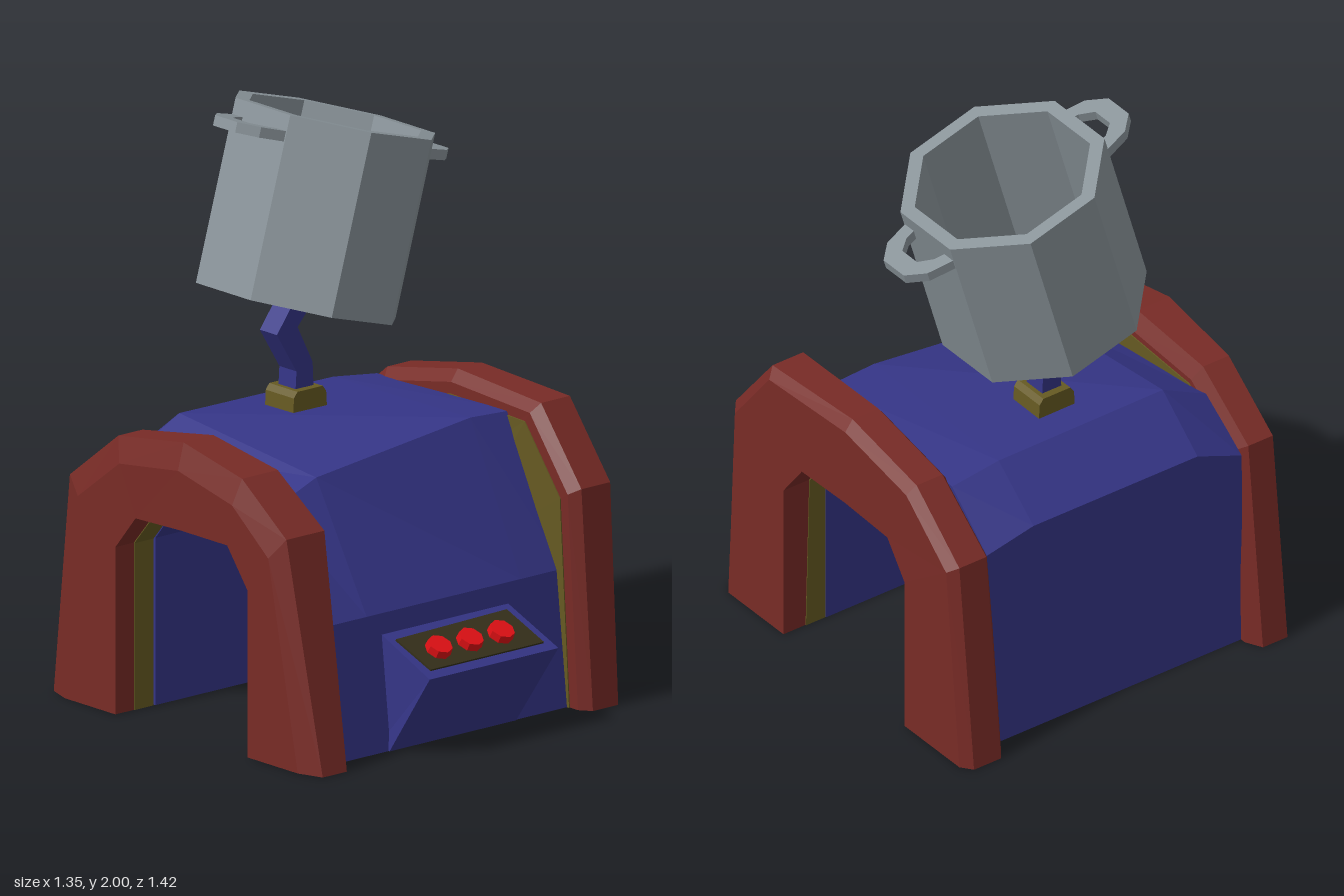
import * as THREE from 'three';

const mat = (color) => new THREE.MeshStandardMaterial({ color, flatShading: true, side: THREE.DoubleSide });
const RED = mat(0x782b26), BLUE = mat(0x353587), OLIVE = mat(0x665a22);
const PANEL = mat(0x35301a), STEEL = mat(0x8a949a), BUTTON = mat(0xe01014);

function add(parent, name, geometry, material) {
  const mesh = new THREE.Mesh(geometry, material);
  mesh.name = name;
  parent.add(mesh);
  return mesh;
}

// Skin over equal-length loops of [x, y, z], optionally capped at both ends
function loft(loops, capped = false) {
  const n = loops[0].length, pos = [];
  const tri = (a, b, c) => pos.push(...a, ...b, ...c);
  for (let i = 0; i < loops.length - 1; i++) {
    for (let j = 0; j < n; j++) {
      const k = (j + 1) % n;
      const a = loops[i][j], b = loops[i][k], c = loops[i + 1][k], d = loops[i + 1][j];
      tri(a, d, c);
      tri(a, c, b);
    }
  }
  const first = loops[0], last = loops[loops.length - 1];
  for (let j = 1; capped && j < n - 1; j++) {
    tri(first[0], first[j], first[j + 1]);
    tri(last[0], last[j + 1], last[j]);
  }
  const g = new THREE.BufferGeometry();
  g.setAttribute('position', new THREE.Float32BufferAttribute(pos, 3));
  g.computeVertexNormals();
  return g;
}

// Outline in XY extruded symmetrically along z
function slab(points, depth, hole) {
  const shape = new THREE.Shape(points.map((p) => new THREE.Vector2(...p)));
  if (hole) shape.holes.push(new THREE.Path(hole.map((p) => new THREE.Vector2(...p))));
  return new THREE.ExtrudeGeometry(shape, { depth, bevelEnabled: false }).translate(0, 0, -depth / 2);
}

// Opening shared by both arches, front foot to back foot: z, y
const OPENING = [[0.29, 0], [0.29, 0.57], [0.19, 0.7], [-0.04, 0.7], [-0.27, 0.69], [-0.37, 0.57], [-0.37, 0]];

// Arch rims, front foot to back foot: z, y, x range
const LEFT_RIM = [
  [0.63, 0, 0.5, 0.67],
  [0.59, 0.75, 0.485, 0.67],
  [0.39, 1.0, 0.485, 0.67],
  [-0.04, 1.02, 0.5, 0.665],
  [-0.39, 0.95, 0.5, 0.665],
  [-0.63, 0.755, 0.5, 0.67],
  [-0.71, 0, 0.5, 0.67],
];
const RIGHT_RIM = [
  [0.63, 0, -0.675, -0.51],
  [0.45, 0.77, -0.675, -0.45],
  [0.23, 0.93, -0.675, -0.46],
  [-0.06, 0.99, -0.675, -0.485],
  [-0.39, 0.94, -0.67, -0.505],
  [-0.63, 0.755, -0.67, -0.51],
  [-0.71, 0, -0.67, -0.51],
];

// Point on the arch face, a given distance in from the rim towards the opening
function inset([oz, oy], [iz, iy], distance) {
  const f = distance / Math.hypot(oz - iz, oy - iy);
  return [oy + (iy - oy) * f, oz + (iz - oz) * f];
}

// Arch with a chamfered rim; drops are the chamfer depths at low and high x
function archGeometry(rim, drops) {
  return loft(rim.map((r, i) => {
    const [z, y, x0, x1] = r, [iz, iy] = OPENING[i], c = 0.03;
    return [[x0, iy, iz], [x1, iy, iz], [x1, ...inset(r, OPENING[i], drops[1])],
      [x1 - c, y, z], [x0 + c, y, z], [x0, ...inset(r, OPENING[i], drops[0])]];
  }));
}

// Thin lining on the side of an arch that faces the body
function liningGeometry(rim, side) {
  return loft(rim.map((r, i) => {
    const edge = side > 0 ? r[2] : r[3];
    const a = edge - side * 0.004, b = edge + side * 0.08;
    const x0 = Math.min(a, b), x1 = Math.max(a, b);
    const p = inset(r, OPENING[i], 0.08);
    const q = inset(OPENING[i], r, -0.003);
    return [[x0, ...q], [x1, ...q], [x1, ...p], [x0, ...p]];
  }));
}

export function createModel() {
  const model = new THREE.Group();
  model.name = 'machine';

  // End arches, open underneath
  for (const [label, rim, side, drops] of [['left', LEFT_RIM, 1, [0.04, 0.04]], ['right', RIGHT_RIM, -1, [0.09, 0.06]]]) {
    add(model, label + 'Arch', archGeometry(rim, drops), RED);
    add(model, label + 'ArchLining', liningGeometry(rim, side), OLIVE);
  }

  // Hollow body tunnel: outer z, outer heights at four x stations, inner z, y
  const bodyX = [-0.52, -0.34, 0.33, 0.52];
  const body = [
    [0.54, [0, 0, 0, 0], 0.285, 0],
    [0.5, [0.46, 0.46, 0.46, 0.46], 0.285, 0.57],
    [0.25, [0.81, 0.88, 0.955, 0.945], 0.19, 0.67],
    [-0.43, [0.86, 0.95, 0.945, 0.92], -0.27, 0.685],
    [-0.62, [0.72, 0.79, 0.79, 0.75], -0.365, 0.57],
    [-0.63, [0, 0, 0, 0], -0.365, 0],
  ];
  add(model, 'body', loft(body.map(([oz, oy, iz, iy]) => [
    [-0.5, iy, iz], [0.5, iy, iz],
    ...[3, 2, 1, 0].map((k) => [bodyX[k], oy[k], oz]),
  ])), BLUE);

  // Control box with a sloping top
  const boxEnd = (back, front) => [[back, 0, 0.48], [back, 0, 0.545], [front, 0.275, 0.71], [back, 0.39, 0.505], [back, 0.39, 0.48]];
  add(model, 'controlBox', loft([boxEnd(-0.28, -0.25), boxEnd(0.27, 0.31)], true), BLUE);
  const slope = Math.atan2(0.115, 0.205);
  const topY = (z) => 0.39 - (z - 0.505) * 0.561;
  const panelLoop = (h) => [[-0.25, 0.54], [0.24, 0.53], [0.27, 0.68], [-0.22, 0.68]]
    .map(([x, z]) => [x, topY(z) + h * Math.cos(slope), z + h * Math.sin(slope)]);
  add(model, 'controlPanel', loft([panelLoop(-0.01), panelLoop(0.007)], true), PANEL);
  for (let i = -1; i <= 1; i++) {
    const button = add(model, 'button', new THREE.CylinderGeometry(0.043, 0.047, 0.05, 8), BUTTON);
    button.position.set(i * 0.135, topY(0.615) + 0.008, 0.62);
    button.rotation.x = slope;
  }

  // Socket and bent arm
  const stand = new THREE.Group();
  stand.name = 'stand';
  stand.position.z = -0.25;
  model.add(stand);
  add(stand, 'socket', slab([[-0.065, 0.915], [0.085, 0.92], [0.08, 1.0], [0.065, 1.02], [-0.045, 1.02], [-0.06, 1.0]], 0.14), OLIVE);
  add(stand, 'arm', slab([[-0.03, 1], [0.05, 1], [0.045, 1.1], [-0.02, 1.23], [0.06, 1.32], [-0.02, 1.34], [-0.11, 1.22], [-0.025, 1.08]], 0.085), BLUE);

  // Tilted octagonal pot
  const pot = new THREE.Group();
  pot.name = 'pot';
  pot.position.set(0, 1.31, -0.24);
  pot.rotation.z = -0.281;
  model.add(pot);
  const profile = [[0, 0], [0.355, 0], [0.355, 0.622], [0.305, 0.622], [0.305, 0.05], [0, 0.05]]
    .map((p) => new THREE.Vector2(...p));
  add(pot, 'potBowl', new THREE.LatheGeometry(profile, 8, Math.PI / 8), STEEL);

  // Loop handles on both sides of the rim
  const outer = [[0.315, -0.135], [0.42, -0.11], [0.478, -0.055], [0.478, 0.055], [0.42, 0.11], [0.315, 0.135]];
  const hole = [[0.32, -0.085], [0.32, 0.085], [0.365, 0.075], [0.41, 0.04], [0.41, -0.04], [0.365, -0.075]];
  for (const turn of [0, Math.PI]) {
    const handle = add(pot, 'potHandle', slab(outer, 0.035, hole).rotateX(Math.PI / 2), STEEL);
    handle.position.y = 0.55;
    handle.rotation.y = turn;
  }
  return model;
}
